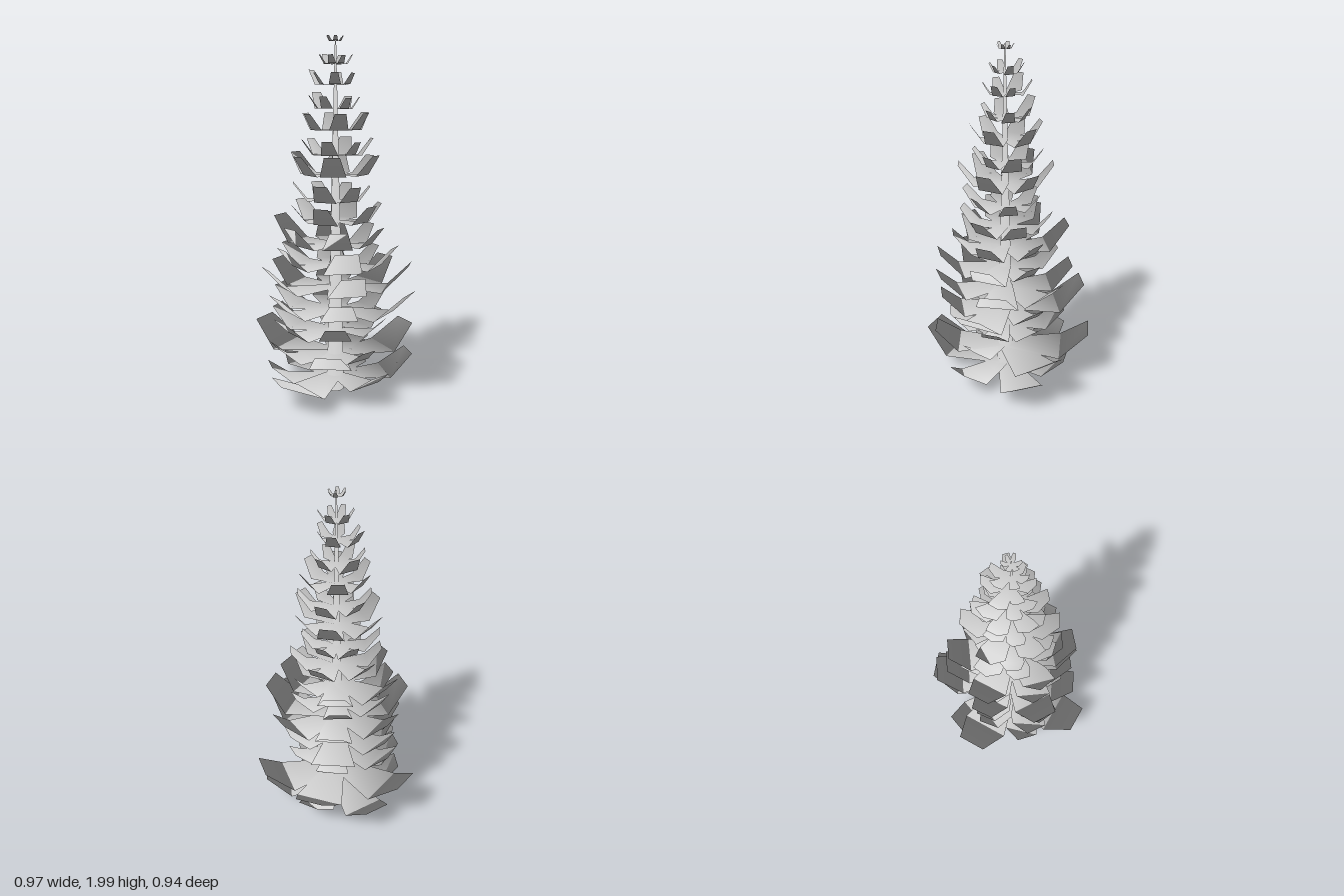
import * as THREE from 'three';

const CX = 0.005, CZ = 0.025; // trunk axis

// wide lower tiers: height, then [angle in degrees, reach] of each leaf
const WIDE_TIERS = [
  [0.08, [[21, 0.44], [85, 0.38], [156, 0.5], [199, 0.38], [266, 0.445], [325, 0.37]]],
  [0.21, [[7, 0.475], [86, 0.29], [130, 0.41], [190, 0.38], [245, 0.5], [316, 0.49]]],
  [0.47, [[5, 0.31], [65, 0.46], [120, 0.37], [182, 0.39], [240, 0.36], [302, 0.45]]],
  [0.605, [[-6, 0.39], [48, 0.42], [111, 0.39], [188, 0.42], [242, 0.38], [302, 0.38]]],
];

// other tiers: height, turn in degrees, reach to left(-x), right(+x), front, back
const TIERS = [
  [0.35, 0, 0.37, 0.30, 0.32, 0.34],
  [0.73, 0, 0.33, 0.27, 0.41, 0.28],
  [0.85, 0, 0.31, 0.26, 0.31, 0.36],
  [0.98, 20, 0.24, 0.26, 0.28, 0.24],
  [1.10, 30, 0.24, 0.19, 0.23, 0.18],
  [1.24, 5, 0.24, 0.24, 0.28, 0.25],
  [1.35, 20, 0.18, 0.22, 0.18, 0.16],
  [1.485, 0, 0.18, 0.21, 0.21, 0.17],
  [1.60, 30, 0.13, 0.14, 0.14, 0.16],
  [1.73, 10, 0.11, 0.10, 0.14, 0.14],
  [1.84, 25, 0.08, 0.10, 0.10, 0.08],
  [1.96, 0, 0.045, 0.045, 0.07, 0.025],
];

// soft foliage normals: upward at the axis, leaning outward with distance from it
function softenNormals(geometry, height) {
  const p = geometry.attributes.position;
  const n = new THREE.Vector3();
  const normals = [];
  for (let i = 0; i < p.count; i++) {
    n.set(p.getX(i), 0.25 + 0.05 * height, p.getZ(i)).normalize();
    normals.push(n.x, n.y, n.z);
  }
  geometry.setAttribute('normal', new THREE.Float32BufferAttribute(normals, 3));
  return geometry;
}

// leaf along +x: flat inner blade, bent up at the outer part
function leafGeometry(reach, rise, height) {
  const sections = [[0, 0, 0.1], [0.67, 0, 0.28], [1, 1, 0.165]]; // out, up, half width
  const pos = [], index = [];
  for (const [x, y, w] of sections) {
    for (const side of [-1, 1]) pos.push(x * reach, y * rise, side * w * reach);
  }
  for (const a of [0, 2]) index.push(a, a + 1, a + 2, a + 1, a + 3, a + 2);
  const g = new THREE.BufferGeometry();
  g.setAttribute('position', new THREE.Float32BufferAttribute(pos, 3));
  g.setIndex(index);
  return softenNormals(g, height);
}

// six leaves whose reach blends between the four sides of the tier
function spreadLeaves([, turn, left, right, front, back], t) {
  return Array.from({ length: 6 }, (_, i) => {
    const deg = turn + i * 60 + 5 * Math.sin(t * 2.3 + i * 4.1);
    const a = THREE.MathUtils.degToRad(deg);
    const c = Math.cos(a), s = Math.sin(a);
    const rx = c > 0 ? right - CX : left + CX;
    const rz = s > 0 ? front - CZ : back + CZ;
    return [deg, rx * c * c + rz * s * s];
  });
}

export function createModel() {
  const group = new THREE.Group();
  group.name = 'tree';
  const material = new THREE.MeshStandardMaterial({ color: 0xcccccc, side: THREE.DoubleSide });

  // tapered trunk, shaded like the crown
  const trunkGeo = softenNormals(new THREE.CylinderGeometry(0.003, 0.05, 1.985, 8), 0);
  const trunk = new THREE.Mesh(trunkGeo, material);
  trunk.name = 'trunk';
  trunk.position.set(CX, 0.9925, CZ);
  group.add(trunk);

  // whorls of bent leaves, from the ground up
  const tiers = [...WIDE_TIERS, ...TIERS.map((row, t) => [row[0], spreadLeaves(row, t)])];
  tiers.sort((a, b) => a[0] - b[0]);
  tiers.forEach(([y, leaves], t) => {
    const tier = new THREE.Group();
    tier.name = `leafTier${t + 1}`;
    tier.position.set(CX, y, CZ);
    leaves.forEach(([deg, reach], i) => {
      const rise = reach * (0.25 + 0.15 * y); // upper leaves bend more steeply
      const leaf = new THREE.Mesh(leafGeometry(reach, rise, y), material);
      leaf.name = 'leaf';
      leaf.rotation.y = -THREE.MathUtils.degToRad(deg);
      leaf.position.y = (i * 5 % 6) * 0.005 * reach; // slight stagger
      tier.add(leaf);
    });
    group.add(tier);
  });
  return group;
}
